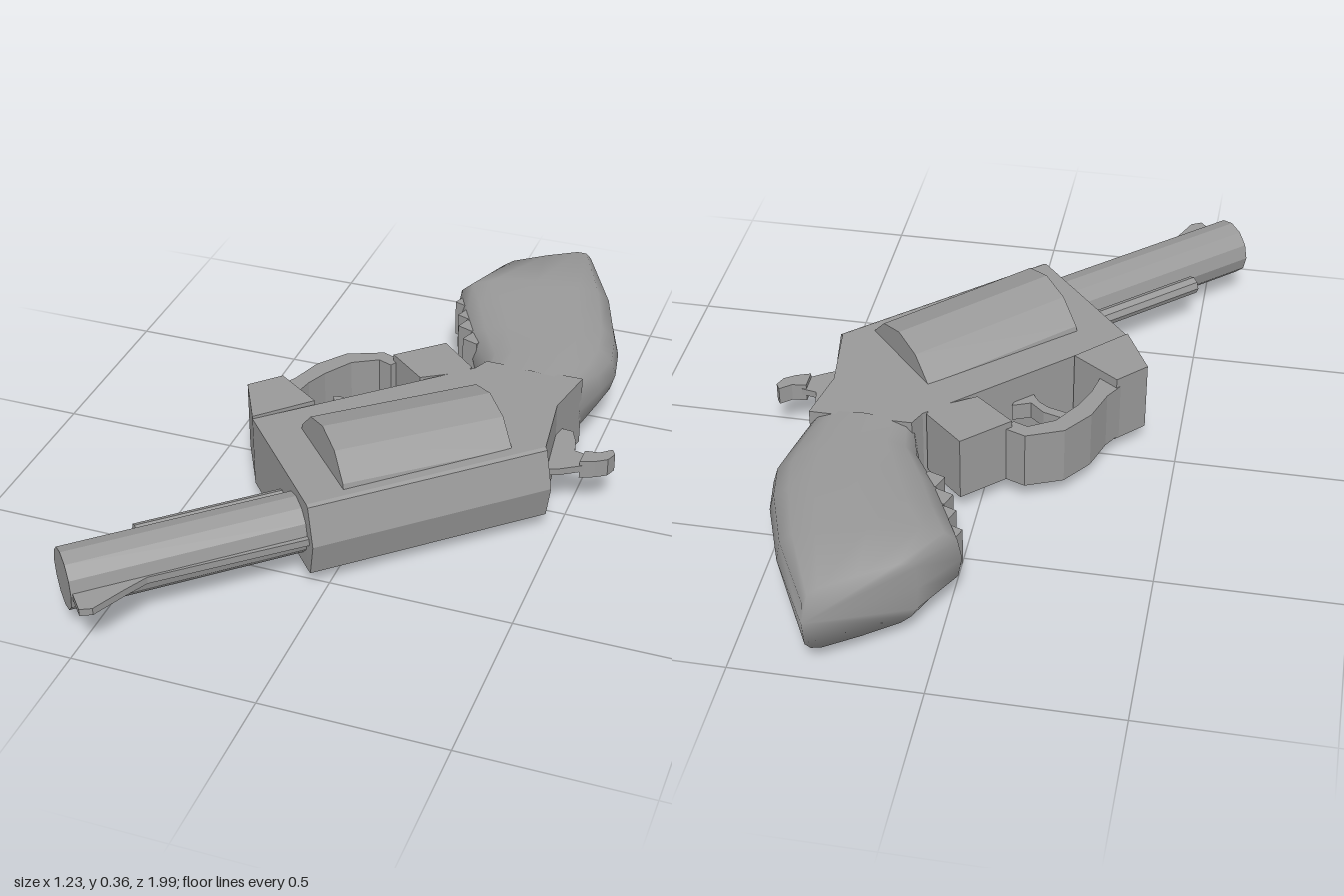
import * as THREE from 'three';

const flat = new THREE.MeshStandardMaterial({ color: 0x999999, flatShading: true });
const smooth = new THREE.MeshStandardMaterial({ color: 0x999999 });

// Bore-aligned coordinates: u runs toward the muzzle, v toward the sights
const plan = (u, v) => [-0.742 * u + 0.67 * v, 0.67 * u + 0.742 * v];
const at = (u, v, y) => { const [x, z] = plan(u, v); return new THREE.Vector3(x, y, z); };

export function createModel() {
  const model = new THREE.Group();
  const add = (name, geometry, material = flat) => {
    const mesh = new THREE.Mesh(geometry, material);
    mesh.name = name;
    model.add(mesh);
    return mesh;
  };

  // Plate with an [x, z] outline, between two heights
  const plate = (name, points, y0, y1) => {
    const shape = new THREE.Shape(points.map(([x, z]) => new THREE.Vector2(x, -z)));
    const geo = new THREE.ExtrudeGeometry(shape, { depth: y1 - y0, bevelEnabled: false });
    geo.rotateX(-Math.PI / 2).translate(0, y0, 0);
    return add(name, geo);
  };

  // Faceted cylinder between two points
  const rod = (name, a, b, radius, sides) => {
    const geo = new THREE.CylinderGeometry(radius, radius, a.distanceTo(b), sides);
    geo.rotateX(Math.PI / 2);
    const mesh = add(name, geo);
    mesh.position.copy(a).add(b).multiplyScalar(0.5);
    mesh.lookAt(b);
    return mesh;
  };

  // Frame with its neck
  plate('frame', [plan(0.39, 0.36), [-0.33, 0.21], [0.16, -0.24], [0.18, -0.285],
    [0.46, -0.285], [0.43, -0.13], plan(-0.289, 0.36)], 0.05, 0.26);

  // Ridged top strap: section swept along the bore
  const strap = new THREE.Shape([[0.36, 0.05], [0.378, 0.052], [0.402, 0.15], [0.37, 0.255], [0.36, 0.26]]
    .map(([v, y]) => new THREE.Vector2(v, y)));
  const strapGeo = new THREE.ExtrudeGeometry(strap, { depth: 0.679, bevelEnabled: false });
  const basis = new THREE.Matrix4().makeBasis(new THREE.Vector3(0.67, 0, 0.742),
    new THREE.Vector3(0, 1, 0), new THREE.Vector3(-0.742, 0, 0.67));
  strapGeo.translate(0, 0, -0.289).applyMatrix4(basis);
  add('topStrap', strapGeo);

  // Barrel, ejector rod and drum
  rod('barrel', at(0.36, 0.282, 0.153), at(1.015, 0.282, 0.153), 0.082, 12);
  rod('ejectorRod', at(0.36, 0.17, 0.153), at(0.793, 0.17, 0.153), 0.026, 8);
  rod('drum', at(-0.2, 0.182, 0.172), at(0.281, 0.182, 0.188), 0.173, 12);

  // Sight blade with a low rib behind it
  plate('frontSight', [plan(1.01, 0.35), [-0.465, 0.995], [-0.435, 0.98], [-0.395, 0.89],
    plan(0.82, 0.368), plan(0.38, 0.376), plan(0.38, 0.34)], 0.14, 0.16);

  // Trigger guard: front block, faceted bow and rear block
  plate('guardFront', [[-0.33, 0.21], [-0.405, 0.065], [-0.33, -0.01], [-0.2, 0.08]], 0.063, 0.268);
  plate('guardBow', [[-0.34, 0], [-0.31, -0.05], [-0.28, -0.14], [-0.22, -0.22], [-0.12, -0.262],
    [-0.06, -0.24], [-0.08, -0.205], [-0.12, -0.22], [-0.19, -0.18], [-0.24, -0.1],
    [-0.265, -0.04], [-0.28, 0.03]], 0.07, 0.24);
  plate('guardRear', [[-0.08, -0.23], [0.04, -0.34], [0.15, -0.24], [0.14, -0.21], [0.03, -0.14]],
    0.07, 0.26);

  // Trigger
  plate('trigger', [[-0.21, -0.085], [-0.19, -0.09], [-0.14, -0.075], [-0.1, -0.04], [-0.05, -0.06],
    [-0.06, 0], [-0.1, 0], [-0.12, -0.03], [-0.15, -0.05], [-0.2, -0.065]], 0.13, 0.18);

  // Hammer: thin stem and wider curled spur
  plate('hammerStem', [[0.42, -0.17], [0.47, -0.165], [0.49, -0.12], [0.5, -0.075], [0.55, -0.065],
    [0.55, -0.02], [0.48, 0.025], [0.43, 0.04]], 0.142, 0.162);
  plate('hammerSpur', [[0.53, -0.065], [0.57, -0.07], [0.6, -0.095], [0.612, -0.075],
    [0.6, -0.045], [0.57, -0.025], [0.53, -0.01]], 0.123, 0.175);

  // Grip: sections from front strap to back strap, growing boxier toward the butt
  const sections = [
    { front: [0.17, -0.27], back: [0.46, -0.27], half: 0.104, power: 0.6 },
    { front: [0.14, -0.36], back: [0.49, -0.39], half: 0.104, power: 0.75 },
    { front: [0.06, -0.48], back: [0.51, -0.48], half: 0.105, power: 0.8 },
    { front: [0.01, -0.59], back: [0.49, -0.59], half: 0.105, power: 0.75 },
    { front: [-0.035, -0.69], back: [0.42, -0.78], half: 0.105, power: 0.6 },
    { front: [0.05, -0.82], back: [0.3, -0.995], half: 0.1, power: 0.4 },
  ];
  const sides = 16, pos = [], index = [];
  sections.forEach(({ front: [fx, fz], back: [bx, bz], half, power }, i) => {
    const swell = (t) => Math.sign(t) * Math.abs(t) ** power;
    for (let j = 0; j < sides; j++) {
      const a = (j / sides) * Math.PI * 2;
      const c = swell(Math.cos(a)) / 2;
      pos.push((fx + bx) / 2 + (bx - fx) * c,
        0.16 + 0.003 * i + half * swell(Math.sin(a)),
        (fz + bz) / 2 + (bz - fz) * c);
    }
  });
  const last = (sections.length - 1) * sides;
  for (let i = 0; i < last; i += sides) {
    for (let j = 0; j < sides; j++) {
      const a = i + j, b = i + (j + 1) % sides;
      index.push(a, a + sides, b, b, a + sides, b + sides);
    }
  }
  // butt face
  for (let j = 1; j < sides - 1; j++) index.push(last, last + j + 1, last + j);
  const grip = new THREE.BufferGeometry();
  grip.setAttribute('position', new THREE.Float32BufferAttribute(pos, 3));
  grip.setIndex(index);
  grip.computeVertexNormals();
  add('grip', grip, smooth);

  // Finger ridges along the front strap
  [[0.09, -0.455], [0.055, -0.52], [0.035, -0.58], [0.005, -0.65]].forEach(([x, z]) => {
    const ridge = add('fingerRidge', new THREE.BoxGeometry(0.05, 0.11, 0.045));
    ridge.position.set(x, 0.165, z);
    ridge.rotation.y = -0.35;
  });

  return model;
}
